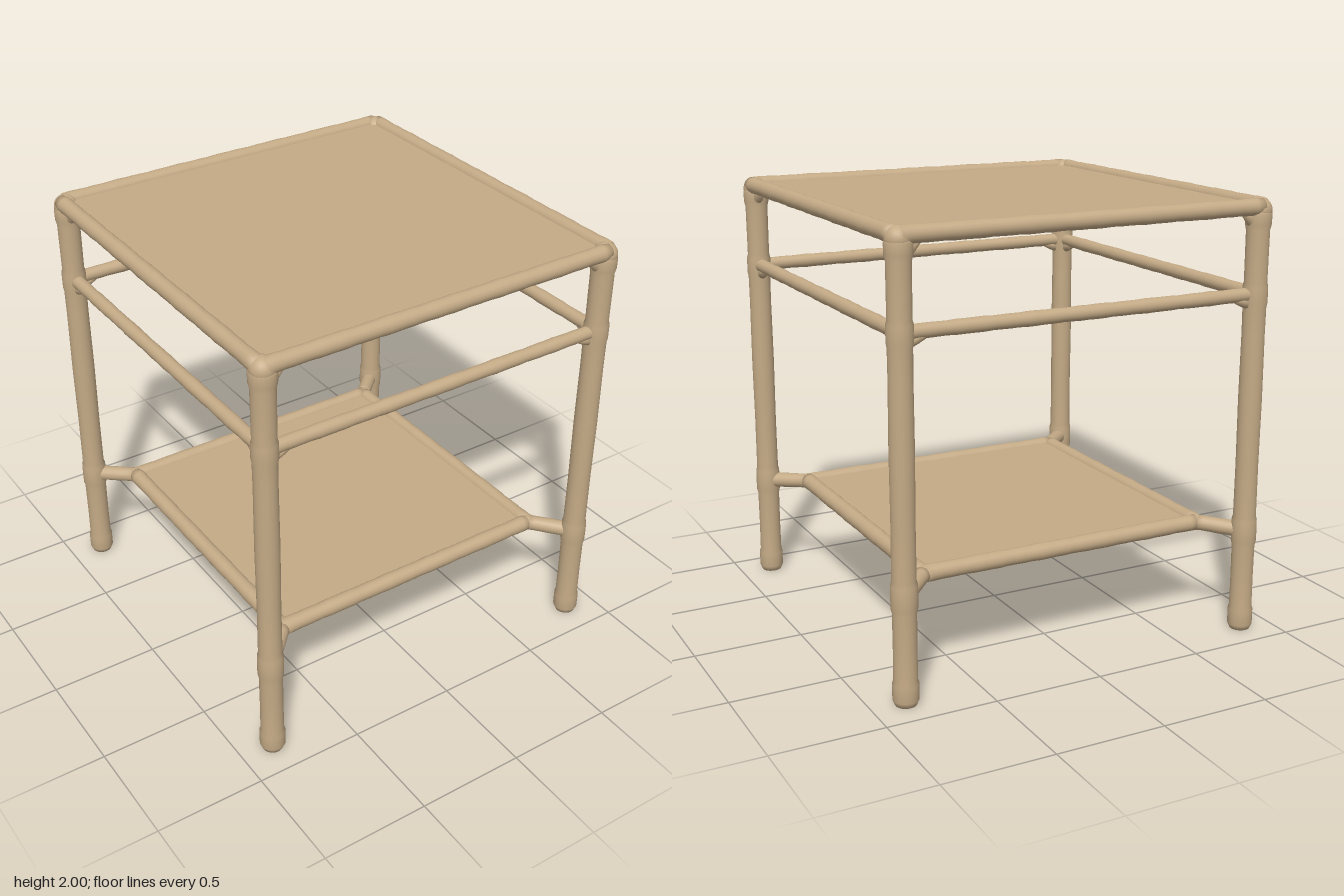
import * as THREE from 'three';

const rattan = new THREE.MeshStandardMaterial({ color: 0xc4aa86 });
rattan.name = 'rattan';

const LEG = 0.848, UP = new THREE.Vector3(0, 1, 0);

function add(group, name, geometry, x = 0, y = 0, z = 0) {
  const mesh = new THREE.Mesh(geometry, rattan);
  mesh.name = name;
  mesh.position.set(x, y, z);
  group.add(mesh);
  return mesh;
}

// Closed rod between two points, with a faint natural ripple along its length
function rod(group, name, a, b, r0, r1 = r0) {
  const from = new THREE.Vector3(...a), to = new THREE.Vector3(...b);
  const length = from.distanceTo(to), steps = Math.max(2, Math.round(length / 0.04));
  const profile = [new THREE.Vector2(0, 0)];
  for (let i = 0; i <= steps; i++) {
    const t = i / steps;
    const ripple = 0.0009 * (Math.sin(i * 2.3) + Math.sin(i * 0.9 + 1));
    profile.push(new THREE.Vector2(r0 + (r1 - r0) * t + ripple, length * t));
  }
  profile.push(new THREE.Vector2(0, length));
  const mesh = add(group, name, new THREE.LatheGeometry(profile, 18), ...a);
  mesh.quaternion.setFromUnitVectors(UP, to.sub(from).normalize());
}

// Turned leg: foot, bound joints and collar
function legGeometry() {
  const points = [
    [0, 0], [0.046, 0], [0.057, 0.025], [0.057, 0.095], [0.052, 0.11], [0.051, 0.25], [0.052, 0.41],
    [0.057, 0.43], [0.058, 0.48], [0.057, 0.53], [0.052, 0.55], [0.051, 0.8], [0.053, 1.1],
    [0.051, 1.4], [0.052, 1.52], [0.056, 1.54], [0.056, 1.61], [0.051, 1.63], [0.052, 1.86],
    [0.058, 1.885], [0.059, 1.93], [0.052, 1.95], [0, 1.95],
  ];
  return new THREE.LatheGeometry(points.map(p => new THREE.Vector2(...p)), 24);
}

// Four rods around a square, one per side, made inside a turned group
function squareOfRods(parent, name, build) {
  for (let i = 0; i < 4; i++) {
    const side = new THREE.Group();
    side.name = name;
    side.rotation.y = i * Math.PI / 2;
    build(side);
    parent.add(side);
  }
}

export function createModel() {
  const table = new THREE.Group();
  table.name = 'sideTable';

  const leg = legGeometry();
  const topBall = new THREE.SphereGeometry(0.055, 20, 14);
  const shelfBall = new THREE.SphereGeometry(0.038, 16, 12);

  for (const sx of [-1, 1]) for (const sz of [-1, 1]) {
    add(table, 'leg', leg, sx * LEG, 0, sz * LEG);
    add(table, 'topCorner', topBall, sx * 0.85, 1.945, sz * 0.85);
    add(table, 'shelfCorner', shelfBall, sx * 0.69, 0.493, sz * 0.69);
    // Diagonal arm from leg to shelf corner
    rod(table, 'shelfArm', [sx * LEG, 0.478, sz * LEG], [sx * 0.69, 0.493, sz * 0.69], 0.036);
  }

  // Table top rim
  squareOfRods(table, 'topRail', g => {
    rod(g, 'topRailRod', [-0.85, 1.962, 0.865], [0.85, 1.962, 0.865], 0.037);
    for (const s of [-1, 1]) {
      rod(g, 'topBrace', [s * 0.83, 1.87, 0.85], [s * 0.77, 1.945, 0.855], 0.022);
    }
  });

  // Slim stretchers below the top, with small bindings at the legs
  squareOfRods(table, 'stretcher', g => {
    rod(g, 'stretcherRod', [-LEG, 1.577, LEG], [LEG, 1.577, LEG], 0.031);
    for (const s of [-1, 1]) {
      rod(g, 'stretcherBinding', [s * 0.82, 1.53, LEG], [s * 0.745, 1.565, LEG], 0.022);
    }
  });

  // Lower shelf frame
  squareOfRods(table, 'shelfRail', g => {
    rod(g, 'shelfRailRod', [-0.69, 0.493, 0.69], [0.69, 0.493, 0.69], 0.037);
  });

  // Flat panels
  add(table, 'topPanel', new THREE.BoxGeometry(1.73, 0.016, 1.73), 0, 1.965, 0);
  add(table, 'shelfPanel', new THREE.BoxGeometry(1.38, 0.016, 1.38), 0, 0.5, 0);

  return table;
}
